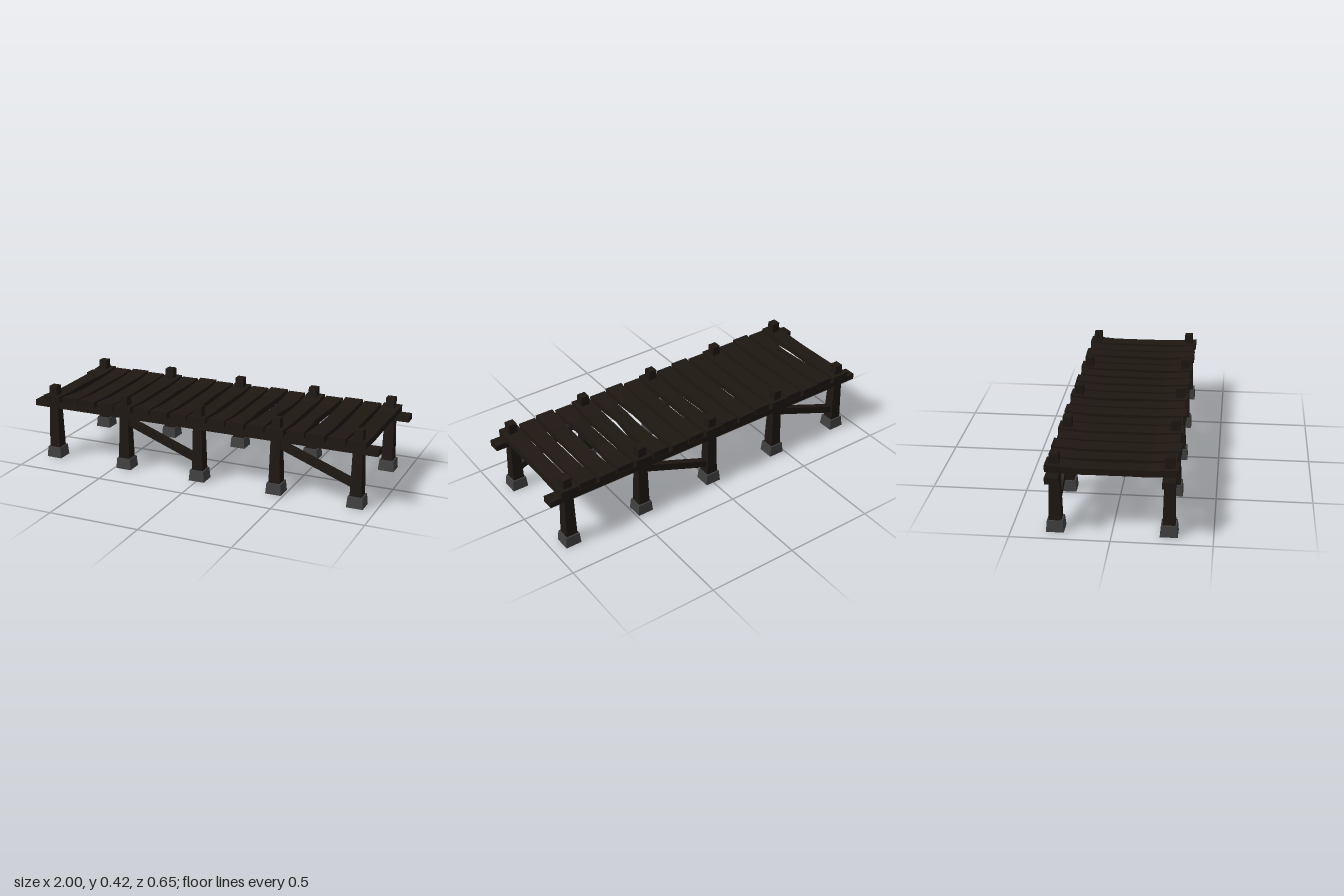
import * as THREE from 'three';

const wood = new THREE.MeshStandardMaterial({ color: 0x1e1712, flatShading: true });
const stone = new THREE.MeshStandardMaterial({ color: 0x404040, flatShading: true });

const ROW_Z = 0.281;   // distance of each post row from the centre line
const BAY = 0.445;     // distance between posts
const PLANKS = 17;

function addMesh(parent, name, geometry, material, x = 0, y = 0, z = 0) {
  const mesh = new THREE.Mesh(geometry, material);
  mesh.name = name;
  mesh.position.set(x, y, z);
  parent.add(mesh);
  return mesh;
}

// Square block standing on y0 whose top is wider or narrower than its foot
function taperedBlock(bottom, top, y0, y1) {
  const geometry = new THREE.BoxGeometry(1, y1 - y0, 1);
  geometry.translate(0, (y0 + y1) / 2, 0);
  const p = geometry.attributes.position;
  for (let i = 0; i < p.count; i++) {
    const w = p.getY(i) > (y0 + y1) / 2 ? top : bottom;
    p.setX(i, p.getX(i) * w);
    p.setZ(i, p.getZ(i) * w);
  }
  return geometry;
}

// Sagging plank; the pinches narrow its left and right edges at the inner stations
function plankGeometry(half, width, lift, pinchL, pinchR) {
  const geometry = new THREE.BoxGeometry(width, 0.036, 2, 1, 1, 5);
  const p = geometry.attributes.position;
  const stations = [-half, -0.18, -0.08, 0.08, 0.18, half];
  for (let i = 0; i < p.count; i++) {
    const s = Math.round((p.getZ(i) + 1) * 2.5);
    const z = stations[s];
    const x = p.getX(i);
    const edge = x < 0 ? pinchL : pinchR;
    const k = s === 0 || s === 5 ? 0 : edge[s < 3 ? 0 : 1] * (s === 1 || s === 4 ? 0.6 : 1);
    const sag = 0.0105 * Math.min(1, (0.325 - Math.abs(z)) / 0.145);
    const shrink = p.getY(i) < 0 ? 0.75 : 1;
    p.setXYZ(i, x - Math.sign(x) * k, p.getY(i) + 0.349 + lift - sag * shrink, z);
  }
  return geometry;
}

// Straight square beam between two points of one side plane
function addBrace(parent, x0, y0, x1, y1, z) {
  const length = Math.hypot(x1 - x0, y1 - y0);
  const brace = addMesh(parent, 'diagonalBrace', new THREE.BoxGeometry(length, 0.038, 0.036),
    wood, (x0 + x1) / 2, (y0 + y1) / 2, z);
  brace.rotation.z = Math.atan2(y1 - y0, x1 - x0);
}

export function createModel() {
  const model = new THREE.Group();
  model.name = 'woodenDock';

  // Posts on stone footings, and the long beams carrying the deck
  for (const side of [1, -1]) {
    const z = side * ROW_Z;
    for (let i = -2; i <= 2; i++) {
      const post = new THREE.Group();
      post.name = 'post';
      post.position.set(i * BAY, 0, z);
      addMesh(post, 'footing', taperedBlock(0.089, 0.079, 0, 0.06), stone);
      addMesh(post, 'postShaft', taperedBlock(0.064, 0.046, 0.05, 0.417), wood);
      model.add(post);
    }
    addMesh(model, 'longBeam', new THREE.BoxGeometry(2, 0.034, 0.066), wood, 0, 0.312, z + side * 0.002);

    // Braces in every second bay, mirrored through the centre
    for (const top of [-BAY, BAY]) {
      addBrace(model, side * top, 0.28, side * (top + BAY), 0.112, z);
    }
  }

  // Deck planks; edges worn unevenly as [back, front] pinches
  const wear = {
    0: { r: [0.013, 0.016] }, 1: { l: [0.008, 0.017], r: [0.008, 0.008] },
    5: { r: [0.018, 0.012] }, 7: { r: [0.014, 0.006] }, 8: { l: [0.007, 0.012], r: [0.01, 0.01] },
    10: { r: [0.014, 0.018] }, 11: { l: [0.012, 0.004], r: [0, 0.02] },
    12: { l: [0.012, 0.006] }, 13: { r: [0.016, 0.022] }, 14: { l: [0.008, 0.005] },
  };
  for (let i = 0; i < PLANKS; i++) {
    const { l = [0.005, 0.007], r = [0.007, 0.005] } = wear[i] || {};
    const long = i % 2 === 0;
    const geometry = plankGeometry(long ? 0.325 : 0.313, long ? 0.101 : 0.096, long ? 0 : -0.002, l, r);
    addMesh(model, 'deckPlank', geometry, wood, (i - (PLANKS - 1) / 2) * BAY / 4);
  }
  return model;
}
